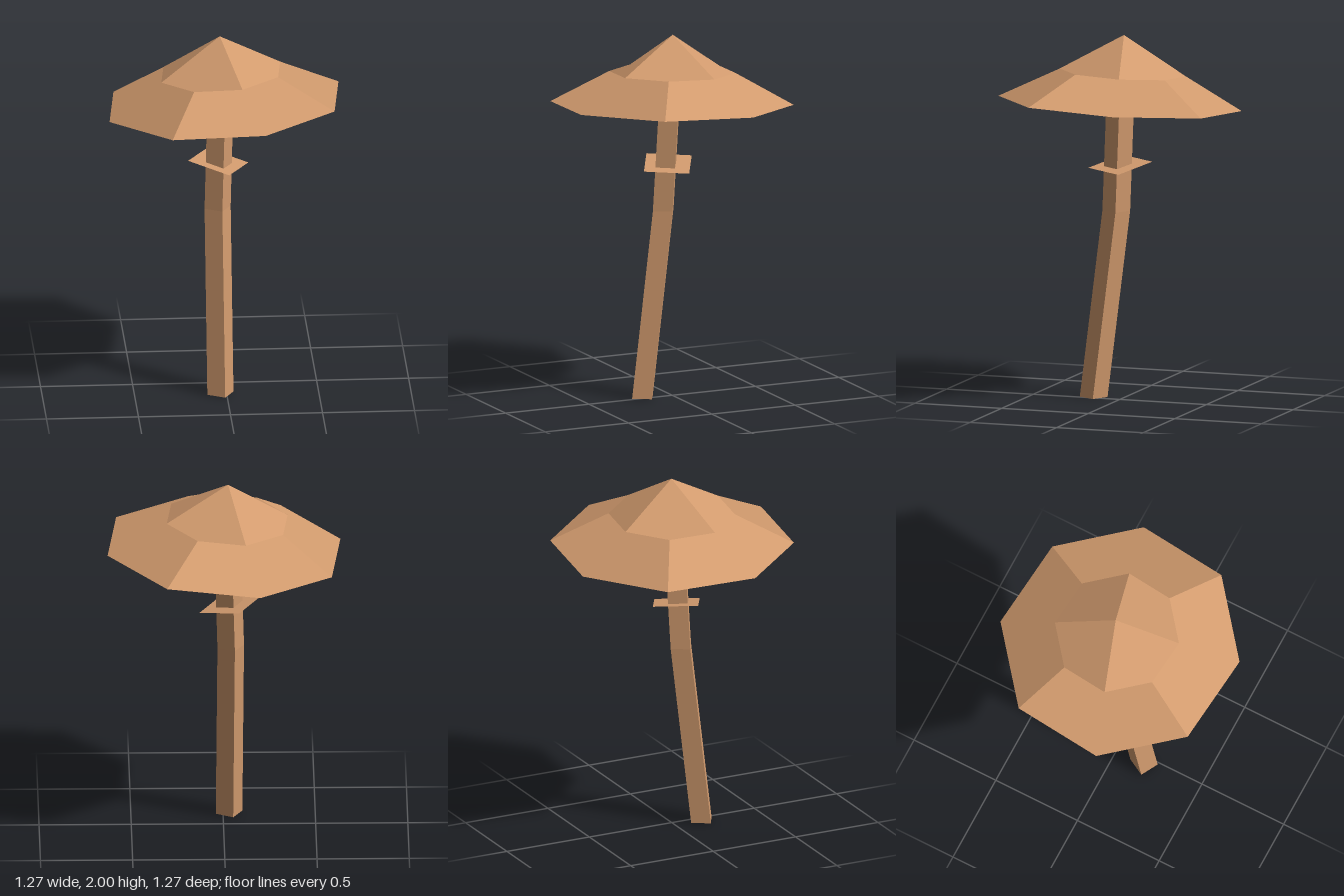
import * as THREE from 'three';

const tan = new THREE.MeshStandardMaterial({ color: 0xd29b6e, side: THREE.DoubleSide });
tan.name = 'tan';

const V = (x, y, z) => new THREE.Vector3(x, y, z);
const TURN = THREE.MathUtils.degToRad(-106.4);

// Each facet is a list of triangles that share one averaged normal
function facetMesh(name, facets) {
  const pos = [], nor = [];
  for (const tris of facets) {
    const n = V(0, 0, 0);
    for (const [a, b, c] of tris) {
      n.add(b.clone().sub(a).cross(c.clone().sub(a)));
    }
    n.normalize();
    for (const p of tris.flat()) {
      pos.push(p.x, p.y, p.z);
      nor.push(n.x, n.y, n.z);
    }
  }
  const geo = new THREE.BufferGeometry();
  geo.setAttribute('position', new THREE.Float32BufferAttribute(pos, 3));
  geo.setAttribute('normal', new THREE.Float32BufferAttribute(nor, 3));
  const mesh = new THREE.Mesh(geo, tan);
  mesh.name = name;
  return mesh;
}

const quad = (a, b, c, d) => [[a, b, c], [a, c, d]];

// Regular ring of points lying on a plane that tilts in x and z
function ring(sides, r, cx, cz, h, slopeX, slopeZ) {
  return Array.from({ length: sides }, (_, i) => {
    const a = TURN + (i / sides) * Math.PI * 2;
    const x = cx + r * Math.cos(a), z = cz + r * Math.sin(a);
    return V(x, h + slopeX * x + slopeZ * z, z);
  });
}

// Thin tilted cap: four facets at the peak, four around the rim, staggered
function makeCap() {
  const apex = V(-0.025, 2, -0.015);
  const mid = ring(8, 0.343, -0.02, -0.01, 1.796, 0.062, 0.037);
  const rim = ring(8, 0.661, -0.003, 0, 1.6265, 0.062, 0.037);
  const facets = [];
  for (let i = 0; i < 8; i += 2) {
    const [a, b, c, d] = [0, 1, 2, 3].map(k => (i + k) % 8);
    // Peak facet, folded across alternate diagonals
    facets.push(i % 4 === 0
      ? [[apex, mid[c], mid[a]], [mid[a], mid[c], mid[b]]]
      : [[apex, mid[b], mid[a]], [apex, mid[c], mid[b]]]);
    // Rim facet
    facets.push([
      ...quad(mid[b], mid[c], rim[c], rim[b]),
      ...quad(mid[c], mid[d], rim[d], rim[c]),
    ]);
  }
  return facetMesh('cap', facets);
}

// Square stem with one bend
function makeStem() {
  const loops = [[-0.033, 0, 0.163], [-0.04, 1.03, 0.035], [-0.018, 1.8, -0.002]]
    .map(([x, y, z]) => ring(4, 0.0755, x, z, y, 0, 0));
  const facets = [quad(...loops[0]), quad(...[...loops[2]].reverse())];
  for (let k = 0; k < 2; k++) {
    for (let i = 0; i < 4; i++) {
      const j = (i + 1) % 4;
      facets.push(quad(loops[k][i], loops[k + 1][i], loops[k + 1][j], loops[k][j]));
    }
  }
  return facetMesh('stem', facets);
}

// Flat tilted skirt around the stem
function makeSkirt() {
  const s = ring(4, 0.174, -0.035, 0.01, 1.278, -0.18, -0.058);
  return facetMesh('skirt', [quad(...s.reverse())]);
}

export function createModel() {
  const group = new THREE.Group();
  group.name = 'mushroom';
  group.add(makeCap(), makeStem(), makeSkirt());
  return group;
}
